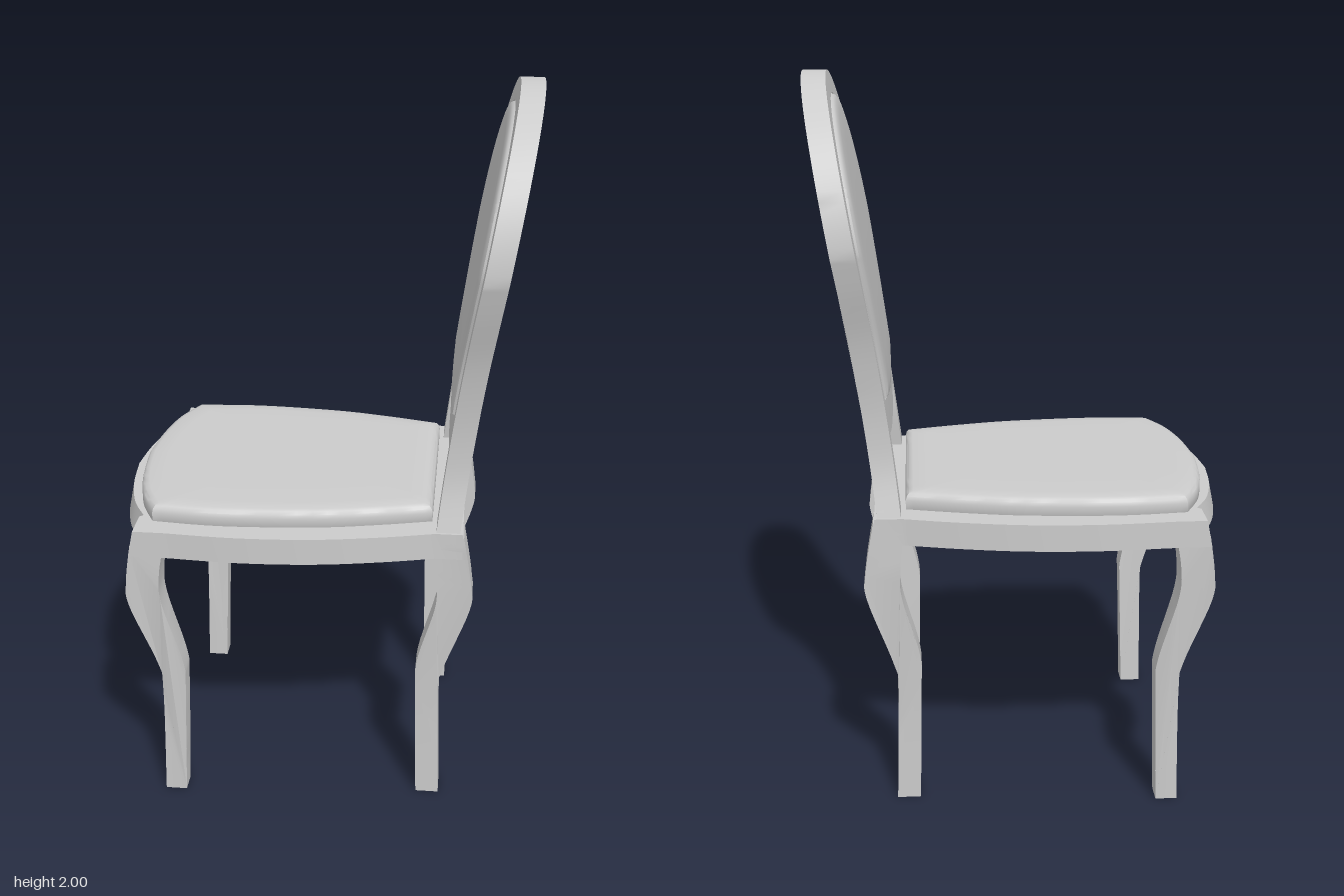
import * as THREE from 'three';
import { toCreasedNormals } from 'three/addons/utils/BufferGeometryUtils.js';

const material = new THREE.MeshStandardMaterial({ color: 0xcccccc, side: THREE.DoubleSide });
const vec = (pts) => pts.map(([a, b]) => new THREE.Vector2(a, b));
const spline = (pts, n) => new THREE.SplineCurve(vec(pts)).getPoints(n);

// Joins runs of points, dropping doubled ends
function join(...runs) {
  const out = [];
  for (const p of runs.flat()) if (!out.length || out[out.length - 1].distanceTo(p) > 1e-4) out.push(p);
  return out;
}

// Closes a half outline that starts and ends on the axis; counter-clockwise result
function mirrorOutline(half, axis) {
  const other = half.slice(1, -1).reverse().map((p) => {
    const q = p.clone();
    q[axis] *= -1;
    return q;
  });
  const loop = [...half, ...other];
  return THREE.ShapeUtils.isClockWise(loop) ? loop.reverse() : loop;
}

// Moves every vertex by a rule
function warp(geometry, rule) {
  const pos = geometry.attributes.position;
  const v = new THREE.Vector3();
  for (let i = 0; i < pos.count; i++) {
    rule(v.fromBufferAttribute(pos, i));
    pos.setXYZ(i, v.x, v.y, v.z);
  }
  return geometry;
}

function extrude(outline, depth, hole) {
  const shape = new THREE.Shape(outline);
  if (hole) shape.holes.push(new THREE.Path(hole));
  return new THREE.ExtrudeGeometry(shape, { depth, bevelEnabled: false });
}

// Stuffed pad: the outline scaled about its middle, ring by ring, as [scale, height]
function pad(outline, rings, cu, cv) {
  const n = outline.length, positions = [], index = [];
  for (const [s, h] of rings)
    for (const p of outline) positions.push(cu + (p.x - cu) * s, cv + (p.y - cv) * s, h);
  for (let r = 0; r < rings.length - 1; r++)
    for (let i = 0; i < n; i++) {
      const j = (i + 1) % n, a = r * n + i, b = r * n + j;
      index.push(a, b, b + n, a, b + n, a + n);
    }
  const g = new THREE.BufferGeometry();
  g.setAttribute('position', new THREE.Float32BufferAttribute(positions, 3));
  g.setIndex(index);
  return g;
}

function addMesh(parent, name, geometry) {
  const mesh = new THREE.Mesh(toCreasedNormals(geometry, 0.6), material);
  mesh.name = name;
  parent.add(mesh);
}

// Backward lean of the backrest
const lean = (y) => {
  const t = y - 0.855;
  return 0.365 + 0.107 * t + 0.04 * t * t;
};

// Curved leg: side profile extruded, its width narrowing towards the foot
function legGeometry(front, rear, inner, outer, side) {
  const outline = join(spline(front, 28), spline(rear, 28).reverse());
  const g = extrude(outline, 1);
  return warp(g, (v) => {
    const t = THREE.MathUtils.smoothstep(v.y, 0.25, 0.75);
    const a = THREE.MathUtils.lerp(inner[0], inner[1], t);
    const b = THREE.MathUtils.lerp(outer[0], outer[1], t);
    v.z = side > 0 ? a + (b - a) * v.z : -b + (b - a) * v.z;
  });
}

export function createModel() {
  const chair = new THREE.Group();
  chair.name = 'chair';

  // Legs
  for (const side of [1, -1]) {
    const label = side > 0 ? 'A' : 'B';
    addMesh(chair, 'frontLeg' + label, legGeometry(
      [[-0.43, 0], [-0.425, 0.34], [-0.435, 0.43], [-0.503, 0.62], [-0.507, 0.7], [-0.492, 0.81]],
      [[-0.37, 0], [-0.36, 0.34], [-0.363, 0.44], [-0.412, 0.63], [-0.415, 0.72], [-0.4, 0.81]],
      [0.342, 0.355], [0.4, 0.436], side));
    addMesh(chair, 'backLeg' + label, legGeometry(
      [[0.295, 0], [0.287, 0.34], [0.29, 0.45], [0.335, 0.62], [0.338, 0.7], [0.33, 0.81]],
      [[0.36, 0], [0.352, 0.34], [0.362, 0.42], [0.43, 0.62], [0.432, 0.7], [0.408, 0.845]],
      [0.28, 0.28], [0.342, 0.368], side));
  }

  // Seat frame: bowed rails, square front corners, open underneath
  const frameHalf = join(
    spline([[-0.556, 0], [-0.543, 0.13], [-0.514, 0.25], [-0.472, 0.335]], 14),
    vec([[-0.482, 0.345], [-0.482, 0.437], [-0.4, 0.437]]),
    spline([[-0.4, 0.437], [-0.2, 0.447], [0, 0.436], [0.18, 0.405], [0.33, 0.368]], 20),
    vec([[0.405, 0.368], [0.405, 0]]));
  const frameHole = join(
    spline([[-0.48, 0], [-0.46, 0.16], [-0.4, 0.33]], 12),
    spline([[-0.4, 0.355], [-0.2, 0.37], [0, 0.36], [0.31, 0.29]], 16),
    vec([[0.31, 0]]));
  const seatFrame = extrude(mirrorOutline(frameHalf, 'y'), 0.075, mirrorOutline(frameHole, 'y'));
  seatFrame.rotateX(Math.PI / 2).translate(0, 0.855, 0);
  warp(seatFrame, (v) => {
    if (v.x < -0.4 && (v.x < -0.481 || Math.abs(v.z) > 0.3)) v.x -= 0.2 * (0.855 - v.y);
  });
  addMesh(chair, 'seatFrame', seatFrame);

  // Seat cushion
  const cushionHalf = join(
    spline([[-0.525, 0], [-0.513, 0.14], [-0.485, 0.27], [-0.44, 0.368]], 14),
    spline([[-0.44, 0.368], [-0.25, 0.381], [0, 0.364], [0.17, 0.332], [0.32, 0.294]], 20),
    spline([[0.32, 0.294], [0.32, 0.15], [0.32, 0]], 6));
  const cushion = pad(mirrorOutline(cushionHalf, 'y'), [
    [0, 0.842], [0.98, 0.842], [1, 0.856], [1, 0.88], [0.993, 0.891], [0.978, 0.899],
    [0.95, 0.903], [0.85, 0.905], [0.5, 0.905], [0, 0.905]], -0.1, 0);
  addMesh(chair, 'seatCushion', cushion.rotateX(-Math.PI / 2));

  // Backrest frame: rounded head, waisted posts and a lower cross rail
  const arc = (r) => Array.from({ length: 25 }, (_, i) => {
    const a = (Math.PI / 2) * (1 - i / 24);
    return new THREE.Vector2(r * Math.cos(a), 1.57 + r * Math.sin(a));
  });
  const backHalf = join(
    arc(0.43),
    spline([[0.43, 1.57], [0.405, 1.48], [0.362, 1.34], [0.336, 1.2], [0.327, 1.08], [0.333, 0.97], [0.362, 0.85]], 28),
    spline([[0.28, 0.85], [0.266, 0.96], [0.264, 1.063]], 8),
    spline([[0.264, 1.063], [0.14, 1.043], [0, 1.035]], 8));
  const openingHalf = join(
    arc(0.37),
    spline([[0.37, 1.57], [0.345, 1.47], [0.305, 1.33], [0.282, 1.22], [0.271, 1.158]], 20),
    spline([[0.271, 1.158], [0.14, 1.134], [0, 1.126]], 8));
  const opening = mirrorOutline(openingHalf, 'x');
  const backFrame = extrude(mirrorOutline(backHalf, 'x'), 0.064, opening);
  backFrame.rotateY(Math.PI / 2).translate(-0.032, 0, 0);
  addMesh(chair, 'backFrame', warp(backFrame, (v) => { v.x += lean(v.y); }));

  // Upholstered back panel, proud at the front and set in at the rear
  const panel = pad(opening, [
    [0, -0.014], [0.4, -0.014], [0.8, -0.013], [0.93, -0.01], [0.975, -0.004], [0.995, 0.006],
    [0.995, 0.03], [0.985, 0.038], [0.96, 0.043], [0.9, 0.046], [0.7, 0.047], [0.35, 0.047], [0, 0.047]], 0, 1.54);
  panel.rotateY(-Math.PI / 2);
  addMesh(chair, 'backPanel', warp(panel, (v) => { v.x += lean(v.y); }));

  return chair;
}
